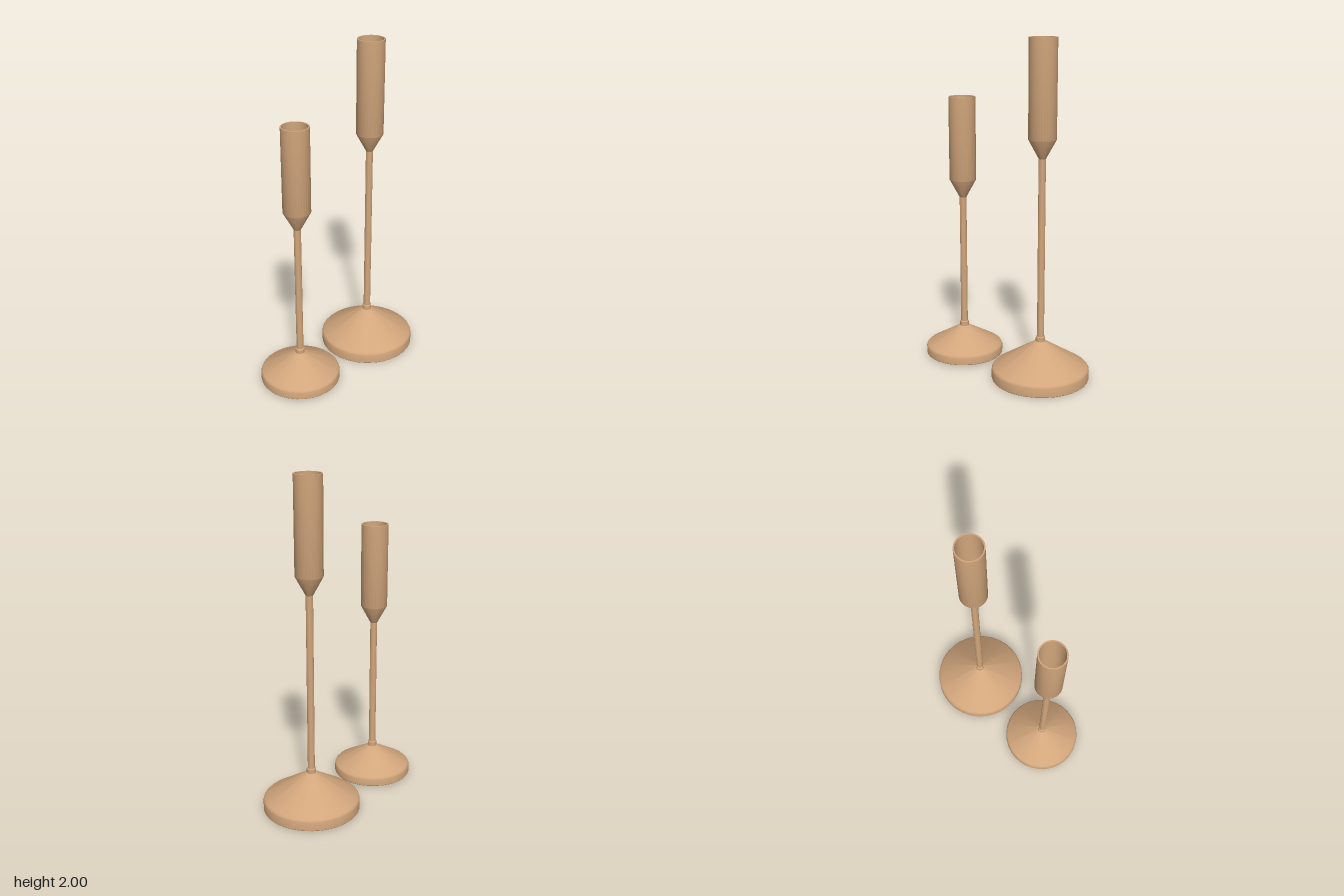
import * as THREE from 'three';
import { toCreasedNormals } from 'three/addons/utils/BufferGeometryUtils.js';

const wood = new THREE.MeshStandardMaterial({ color: 0xd2a67c });

// Turned part from [radius, height] pairs, listed from the bottom outwards
function turned(name, profile) {
  const points = profile.map(([r, y]) => new THREE.Vector2(r, y));
  const geometry = toCreasedNormals(new THREE.LatheGeometry(points, 32), 0.5);
  const mesh = new THREE.Mesh(geometry, wood);
  mesh.name = name;
  return mesh;
}

function candleHolder(name, { bottom, radius, shoulder, coneTop, collarTop, stemTop, cupBase, top }) {
  const holder = new THREE.Group();
  holder.name = name;
  const stemR = 0.021, collarR = 0.028, cupR = 0.081, boreR = 0.073;

  // Weighted foot: short wall, softened shoulder, sloping cone
  holder.add(turned('base', [
    [0, bottom], [radius - 0.002, bottom], [radius, bottom + 0.003],
    [radius, shoulder - 0.016], [radius - 0.003, shoulder - 0.008], [radius - 0.011, shoulder],
    [collarR + 0.002, coneTop], [0, coneTop],
  ]));

  // Collar where the stem meets the foot
  holder.add(turned('collar', [
    [collarR, coneTop - 0.005], [collarR, collarTop - 0.004],
    [collarR - 0.003, collarTop], [0, collarTop],
  ]));

  holder.add(turned('stem', [[stemR, collarTop - 0.01], [stemR, stemTop + 0.005]]));

  // Hollow candle cup with a tapered underside
  holder.add(turned('cup', [
    [0, stemTop], [stemR, stemTop], [cupR, cupBase], [cupR, top],
    [boreR, top], [boreR, cupBase], [0, cupBase],
  ]));
  return holder;
}

export function createModel() {
  const model = new THREE.Group();
  model.name = 'candleHolders';

  const tall = candleHolder('tallHolder', {
    bottom: 0, radius: 0.29, shoulder: 0.072, coneTop: 0.23,
    collarTop: 0.26, stemTop: 1.325, cupBase: 1.435, top: 2,
  });
  tall.position.set(0.172, 0, -0.2);

  const short = candleHolder('shortHolder', {
    bottom: 0.012, radius: 0.24, shoulder: 0.072, coneTop: 0.187,
    collarTop: 0.217, stemTop: 1.02, cupBase: 1.13, top: 1.635,
  });
  short.position.set(-0.225, 0, 0.246);

  model.add(tall, short);
  return model;
}
